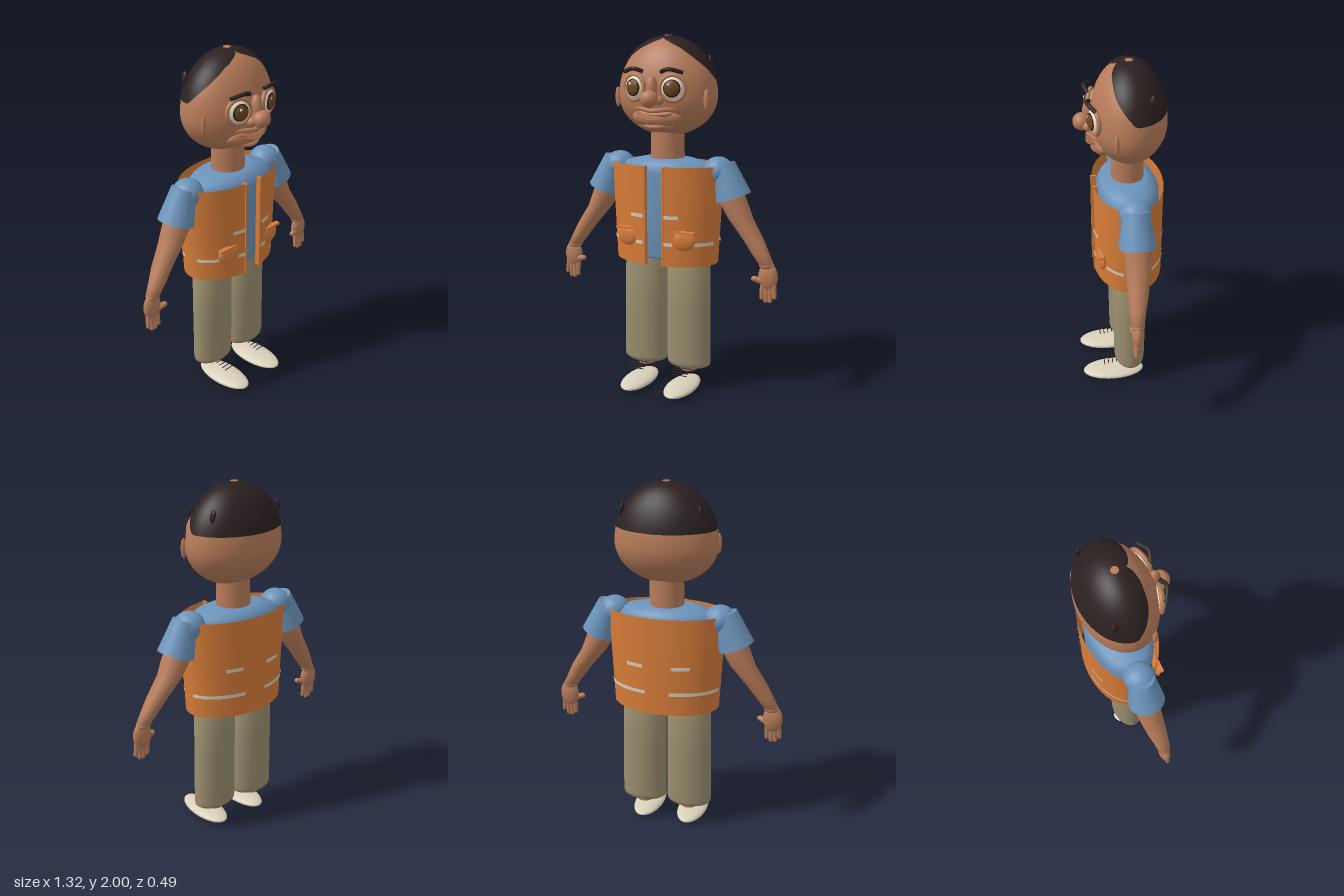
import * as THREE from 'three';
import { mergeVertices } from 'three/addons/utils/BufferGeometryUtils.js';

const mat = (name, color, side = THREE.FrontSide) => {
  const m = new THREE.MeshStandardMaterial({ color, side });
  m.name = name;
  return m;
};
const V = (x, y, z) => new THREE.Vector3(x, y, z);

// Smooth body from elliptical rings, top to bottom: [y, rx, rz, cx, cz]
function loft(rings) {
  const g = new THREE.CylinderGeometry(1, 1, 1, 40, rings.length - 1, true);
  const p = g.attributes.position;
  for (let i = 0; i < p.count; i++) {
    const [y, rx, rz, cx = 0, cz = -0.035] = rings[Math.floor(i / 41)];
    p.setXYZ(i, cx + p.getX(i) * rx, y, cz + p.getZ(i) * rz);
  }
  g.deleteAttribute('uv');
  g.deleteAttribute('normal');
  const out = mergeVertices(g, 1e-5);
  out.computeVertexNormals();
  return out;
}

// Grid surface from a rule (u, v) -> point
function surface(fn, nu, nv) {
  const g = new THREE.PlaneGeometry(1, 1, nu, nv);
  const p = g.attributes.position;
  for (let i = 0; i < p.count; i++) p.setXYZ(i, ...fn(p.getX(i) + 0.5, p.getY(i) + 0.5));
  g.computeVertexNormals();
  return g;
}

const tube = (pts, r) => new THREE.TubeGeometry(new THREE.CatmullRomCurve3(pts), 24, r, 10);

// Point on the skull at angle a (0 = front) and height y, grown by k
function skull(a, y, k = 1) {
  const d = (y - 1.68) / (y > 1.68 ? 0.315 : 0.22);
  const r = Math.sqrt(Math.max(0, 1 - d * d)) * k;
  const rz = y < 1.68 && Math.cos(a) < 0 ? 0.2 - 0.04 * d * d : 0.2;
  return [Math.sin(a) * 0.283 * r, 1.68 + (y - 1.68) * k, -0.04 + Math.cos(a) * rz * r];
}

// Point on the vest at angle a (0 = front) and height y, pushed out by o
function vestPoint(a, y, o = 0) {
  const rx = 0.3 + (0.03 * (y - 0.76)) / 0.55;
  return [Math.sin(a) * (rx + o), y, -0.035 + Math.cos(a) * (0.192 + o)];
}
const vestBand = (a0, a1, y0, y1, o, n) =>
  surface((u, v) => vestPoint(a0 + (a1 - a0) * u, y0 + (y1 - y0) * v, o), n, 4);

export function createModel() {
  const model = new THREE.Group();
  const skin = mat('skin', 0xb67b59), lip = mat('lips', 0x9d6547);
  const hair = mat('hair', 0x2b2020, THREE.DoubleSide);
  const shirt = mat('shirt blue', 0x6b93ba);
  const vest = mat('vest orange', 0xd67c39, THREE.DoubleSide);
  const pants = mat('trouser khaki', 0x9a8e6e), shoe = mat('shoe cream', 0xd9d0ba);
  const strip = mat('reflective strip', 0xd6cebd, THREE.DoubleSide);
  const white = mat('eye white', 0xe9e1c8), iris = mat('iris brown', 0x70451f);

  const add = (name, geo, m, pos = [0, 0, 0], scale = [1, 1, 1], rot = [0, 0, 0]) => {
    const mesh = new THREE.Mesh(geo, m);
    mesh.name = name;
    mesh.position.set(...pos);
    mesh.scale.set(...scale);
    mesh.rotation.set(...rot);
    model.add(mesh);
    return mesh;
  };
  const ball = new THREE.SphereGeometry(1, 32, 20);
  // Rod or cone between two points
  const rod = (name, a, b, ra, rb, m) => {
    const d = b.clone().sub(a);
    const mesh = add(name, new THREE.CylinderGeometry(rb, ra, d.length(), 28), m,
      a.clone().add(b).multiplyScalar(0.5).toArray());
    mesh.quaternion.setFromUnitVectors(V(0, 1, 0), d.normalize());
  };

  // Head, neck and hair cap with a peaked hairline
  add('head', surface((u, v) => skull(u * Math.PI * 2, 1.68 - Math.cos(v * Math.PI) * (v > 0.5 ? 0.315 : 0.22)), 48, 32), skin);
  add('neck', new THREE.CylinderGeometry(0.093, 0.097, 0.2, 32), skin, [0, 1.4, -0.035], [1, 1, 0.92]);
  const line = [[0, 1.982], [0.35, 1.962], [0.72, 1.93], [1.22, 1.84], [1.6, 1.765], [3.2, 1.76]];
  const hairline = (a) => {
    const i = Math.max(1, line.findIndex((q) => q[0] >= a));
    const [a0, y0] = line[i - 1], [a1, y1] = line[i];
    return y0 + ((y1 - y0) * (a - a0)) / (a1 - a0);
  };
  add('hairCap', surface((u, v) => {
    const a = (u - 0.5) * Math.PI * 2, y0 = hairline(Math.abs(a));
    return skull(a, 1.995 - (1.995 - y0) * (1 - v) ** 2, 1.02);
  }, 72, 20), hair);
  add('crownSpot', new THREE.CylinderGeometry(0.02, 0.02, 0.006, 20), skin, [0, 2.0, -0.04]);

  // Nose and mouth
  add('noseTip', ball, skin, [0, 1.675, 0.205], [0.05, 0.046, 0.045]);
  add('noseBridge', ball, skin, [0, 1.72, 0.165], [0.03, 0.075, 0.035]);
  add('muzzle', ball, skin, [0, 1.572, 0.1], [0.145, 0.06, 0.062]);
  add('upperLipFold', tube([V(-0.145, 1.622, 0.1), V(-0.07, 1.617, 0.15), V(0, 1.61, 0.168), V(0.07, 1.617, 0.15), V(0.145, 1.622, 0.1)], 0.012), skin);
  add('chinFold', tube([V(-0.1, 1.53, 0.105), V(0, 1.522, 0.148), V(0.1, 1.53, 0.105)], 0.011), skin);
  const lipShape = new THREE.Shape();
  lipShape.moveTo(-0.11, 1.597);
  lipShape.quadraticCurveTo(0, 1.58, 0.11, 1.597);
  lipShape.quadraticCurveTo(0, 1.528, -0.11, 1.597);
  const lipGeo = new THREE.ExtrudeGeometry(lipShape, { depth: 0.045, bevelEnabled: false, curveSegments: 20 });
  const lp = lipGeo.attributes.position;
  for (let i = 0; i < lp.count; i++) lp.setZ(i, lp.getZ(i) + 0.14 - 4 * lp.getX(i) ** 2);
  lipGeo.computeVertexNormals();
  add('lips', lipGeo, lip);

  // Shirt body
  add('shirtBody', loft([[1.345, 0, 0], [1.337, 0.15, 0.1], [1.315, 0.24, 0.145], [1.27, 0.295, 0.168],
    [1.0, 0.275, 0.165], [0.8, 0.265, 0.16], [0.785, 0.24, 0.14], [0.78, 0, 0]]), shirt);

  // Open vest shell
  const gap = 0.17;
  add('vest', vestBand(gap, Math.PI * 2 - gap, 0.76, 1.31, 0, 72), vest);

  for (const s of [1, -1]) {
    // Eyes, brows, ears and tufts
    const turn = [0, s * 0.3, 0];
    add('eyeRim', new THREE.TorusGeometry(0.067, 0.012, 12, 36), skin, [s * 0.11, 1.73, 0.148], [1, 1, 1], turn);
    add('eyeball', ball, white, [s * 0.11, 1.73, 0.145], [0.063, 0.063, 0.03], turn);
    add('irisEdge', ball, hair, [s * 0.112, 1.73, 0.157], [0.05, 0.05, 0.022], turn);
    add('iris', ball, iris, [s * 0.112, 1.73, 0.16], [0.045, 0.045, 0.022], turn);
    add('eyeGlint', ball, white, [s * 0.112 - 0.012, 1.75, 0.178], [0.008, 0.008, 0.005]);
    add('eyebrow', tube([V(s * 0.052, 1.815, 0.168), V(s * 0.1, 1.83, 0.182), V(s * 0.17, 1.812, 0.148)], 0.011), hair);
    add('nostril', ball, skin, [s * 0.042, 1.665, 0.172], [0.026, 0.025, 0.03]);
    add('ear', ball, skin, [s * 0.262, 1.67, 0.05], [0.016, 0.055, 0.012]);
    add('hairTuft', ball, hair, [s * 0.212, 1.865, -0.135], [0.012, 0.035, 0.018], [0, 0, s * 0.2]);

    // Shoulder, sleeve and arm
    add('shoulder', ball, shirt, [s * 0.3, 1.28, -0.04], [0.085, 0.078, 0.085]);
    rod('sleeve', V(s * 0.325, 1.315, -0.04), V(s * 0.392, 1.137, -0.04), 0.068, 0.1, shirt);
    add('arm', loft([[1.2, 0.07, 0.07, s * 0.36, -0.04], [1.12, 0.079, 0.075, s * 0.388, -0.04], [1.03, 0.07, 0.068, s * 0.432, -0.04],
      [0.92, 0.058, 0.055, s * 0.512, -0.03], [0.85, 0.05, 0.045, s * 0.555, -0.022], [0.79, 0.042, 0.036, s * 0.593, -0.018], [0.77, 0, 0, s * 0.6, -0.018]]), skin);

    // Hand
    add('wrist', ball, skin, [s * 0.595, 0.785, -0.018], [0.042, 0.024, 0.036]);
    add('palm', ball, skin, [s * 0.605, 0.722, -0.016], [0.055, 0.078, 0.03]);
    for (let i = 0; i < 4; i++) {
      const tipY = [0.605, 0.59, 0.592, 0.615][i];
      rod('finger', V(s * (0.577 + i * 0.02), 0.69, -0.014), V(s * (0.574 + i * 0.024), tipY, -0.008), 0.015, 0.012, skin);
      add('fingertip', ball, skin, [s * (0.574 + i * 0.024), tipY, -0.008], [0.012, 0.014, 0.012]);
    }
    rod('thumb', V(s * 0.58, 0.695, -0.012), V(s * 0.533, 0.708, 0), 0.019, 0.015, skin);
    add('thumbTip', ball, skin, [s * 0.533, 0.708, 0], [0.018, 0.015, 0.015]);

    // Vest edge, pocket and reflective strips
    add('vestEdge', new THREE.BoxGeometry(0.014, 0.55, 0.03), vest, [s * 0.056, 1.035, 0.145]);
    add('pocket', ball, vest, [s * 0.17, 0.91, 0.128], [0.065, 0.055, 0.02], [0, s * 0.15, 0]);
    add('pocketFlap', new THREE.BoxGeometry(0.135, 0.012, 0.03), vest, [s * 0.168, 0.955, 0.132]);
    for (const [a0, a1, y] of [[0.19, 0.46, 1.035], [2.55, 2.88, 1.035], [0.19, 0.36, 0.885], [0.78, 1.3, 0.885], [1.75, 2.92, 0.885]])
      add('reflectiveStrip', vestBand(s * a0, s * a1, y - 0.01, y + 0.01, 0.004, 16), strip);

    // Trouser leg, ankle, shoe and laces
    add('trouserLeg', loft([[0.84, 0, 0, s * 0.13], [0.84, 0.124, 0.1, s * 0.13], [0.5, 0.127, 0.094, s * 0.134], [0.17, 0.13, 0.088, s * 0.136],
      [0.15, 0.127, 0.085, s * 0.136], [0.14, 0.115, 0.076, s * 0.136], [0.138, 0, 0, s * 0.136]]), pants);
    add('ankle', new THREE.CylinderGeometry(0.05, 0.05, 0.06, 24), skin, [s * 0.135, 0.142, -0.035]);
    add('shoe', ball, shoe, [s * 0.135, 0.036, 0.06], [0.085, 0.03, 0.182]);
    for (let i = 0; i < 4; i++)
      add('lace', new THREE.CylinderGeometry(0.0025, 0.0025, 0.1, 6), hair, [s * 0.135, 0.138 - i * 0.005, 0.045 + i * 0.024], [1, 1, 1], [0, 0, Math.PI / 2]);
  }
  return model;
}
